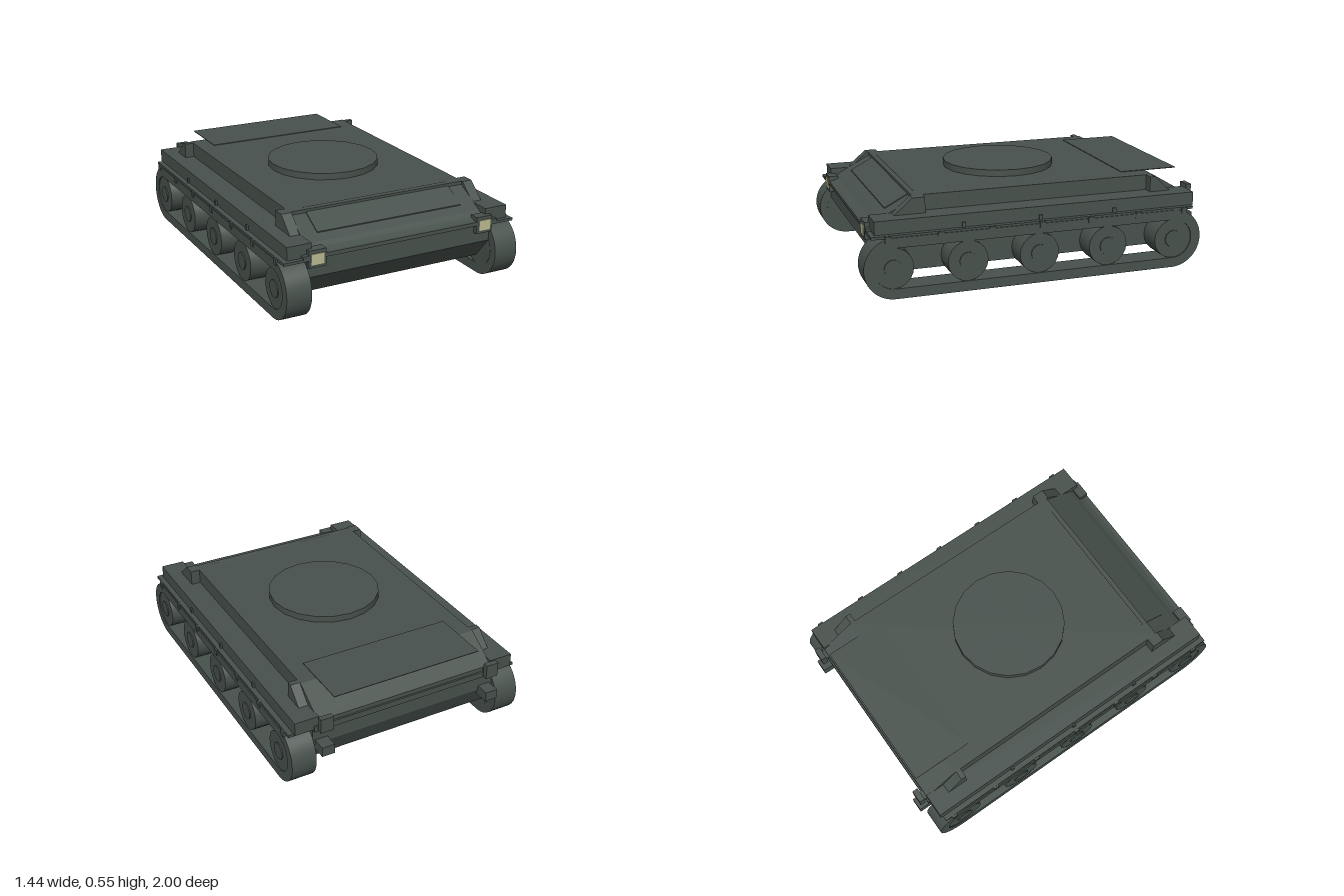
import * as THREE from 'three';
import { toCreasedNormals } from 'three/addons/utils/BufferGeometryUtils.js';

export function createModel() {
  const model = new THREE.Group();
  const armour = new THREE.MeshStandardMaterial({ name: 'armourGreen', color: 0x47514c });
  const lens = new THREE.MeshStandardMaterial({ name: 'lampGlass', color: 0xbaba92 });

  const add = (name, geometry, material = armour) => {
    const mesh = new THREE.Mesh(geometry, material);
    mesh.name = name;
    model.add(mesh);
    return mesh;
  };
  // box given by its limits on each axis
  const box = (name, x0, x1, y0, y1, z0, z1, material) =>
    add(name, new THREE.BoxGeometry(Math.abs(x1 - x0), y1 - y0, z1 - z0), material)
      .position.set((x0 + x1) / 2, (y0 + y1) / 2, (z0 + z1) / 2);
  // side profile of [z, y] points extruded across x
  const across = (shape, x0, x1) => {
    const g = new THREE.ExtrudeGeometry(shape, { depth: Math.abs(x1 - x0), bevelEnabled: false, curveSegments: 12 });
    g.rotateY(-Math.PI / 2);
    g.translate(Math.max(x0, x1), 0, 0);
    return g;
  };
  const profile = (name, points, x0, x1) =>
    add(name, across(new THREE.Shape(points.map(p => new THREE.Vector2(...p))), x0, x1));
  const disc = (name, r, x0, x1, y, z, sides) => {
    const g = new THREE.CylinderGeometry(r, r, Math.abs(x1 - x0), sides);
    g.rotateZ(Math.PI / 2);
    add(name, toCreasedNormals(g, 0.6)).position.set((x0 + x1) / 2, y, z);
  };

  // hull
  profile('lowerHull', [[0.82, 0.105], [0.88, 0.175], [0.93, 0.235], [0.93, 0.35],
    [-0.92, 0.35], [-0.92, 0.24], [-0.85, 0.105]], -0.57, 0.57);
  profile('upperHull', [[0.955, 0.345], [0.955, 0.36], [0.90, 0.38], [0.87, 0.40], [0.69, 0.495],
    [0.69, 0.515], [-0.74, 0.515], [-0.935, 0.40], [-0.935, 0.345]], -0.545, 0.545);
  profile('glacisPanel', [[0.82, 0.424], [0.82, 0.432], [0.66, 0.517], [0.64, 0.51]], -0.45, 0.45);
  box('bowStrip', -0.6, 0.6, 0.35, 0.368, 0.9, 0.957);
  box('sternStrip', -0.57, 0.57, 0.34, 0.375, -0.945, -0.9);
  box('rearDeckPlate', -0.45, 0.45, 0.517, 0.521, -0.935, -0.585);

  // turret ring
  const ring = new THREE.CylinderGeometry(0.327, 0.327, 0.04, 20);
  add('turretRing', toCreasedNormals(ring, 0.6)).position.set(0, 0.533, 0.02);

  // closed stadium path for the track outline and its opening
  const stadium = (path, r) => {
    path.absarc(0.83, 0.17, r, -Math.PI / 2, Math.PI / 2, false);
    path.absarc(-0.80, 0.17, r, Math.PI / 2, Math.PI * 1.5, false);
    path.closePath();
    return path;
  };

  for (const s of [1, -1]) {
    // corner wedges beside the deck
    profile('frontCornerWedge', [[0.81, 0.42], [0.70, 0.515], [0.63, 0.515], [0.63, 0.42]], s * 0.54, s * 0.6);
    profile('rearCornerWedge', [[-0.70, 0.42], [-0.70, 0.515], [-0.73, 0.515], [-0.83, 0.42]], s * 0.54, s * 0.6);

    // fender with its lower shelf and brackets
    box('fender', s * 0.54, s * 0.68, 0.35, 0.427, -0.935, 0.93);
    box('fenderShelf', s * 0.54, s * 0.71, 0.337, 0.352, -0.92, 0.955);
    for (let i = 0; i < 7; i++) {
      const z = 0.865 - i * 0.288;
      box('fenderBracket', s * 0.675, s * 0.721, 0.315, 0.35, z - 0.016, z + 0.016);
    }
    for (const z of [0.44, 0, -0.44]) box('fenderClip', s * 0.67, s * 0.69, 0.35, 0.38, z - 0.01, z + 0.01);

    // running gear
    const loop = stadium(new THREE.Shape(), 0.17);
    loop.holes.push(stadium(new THREE.Path(), 0.113));
    add('track', toCreasedNormals(across(loop, s * 0.572, s * 0.716), 0.6));
    for (const z of [0.84, 0.425, 0.015, -0.395, -0.80]) {
      disc('roadWheel', 0.114, s * 0.57, s * 0.71, 0.17, z, 20);
      disc('wheelHub', 0.05, s * 0.7, s * 0.716, 0.17, z, 12);
    }

    // headlamp
    box('headlampHousing', s * 0.467, s * 0.567, 0.298, 0.395, 0.9, 0.957);
    box('headlampLens', s * 0.481, s * 0.555, 0.315, 0.375, 0.955, 0.962, lens);

    // tail lamp and towing block
    box('tailLamp', s * 0.48, s * 0.555, 0.355, 0.44, -0.987, -0.955);
    box('tailLampStem', s * 0.49, s * 0.545, 0.365, 0.39, -0.96, -0.92);
    box('towBlock', s * 0.48, s * 0.555, 0.21, 0.268, -1, -0.89);
  }
  return model;
}
